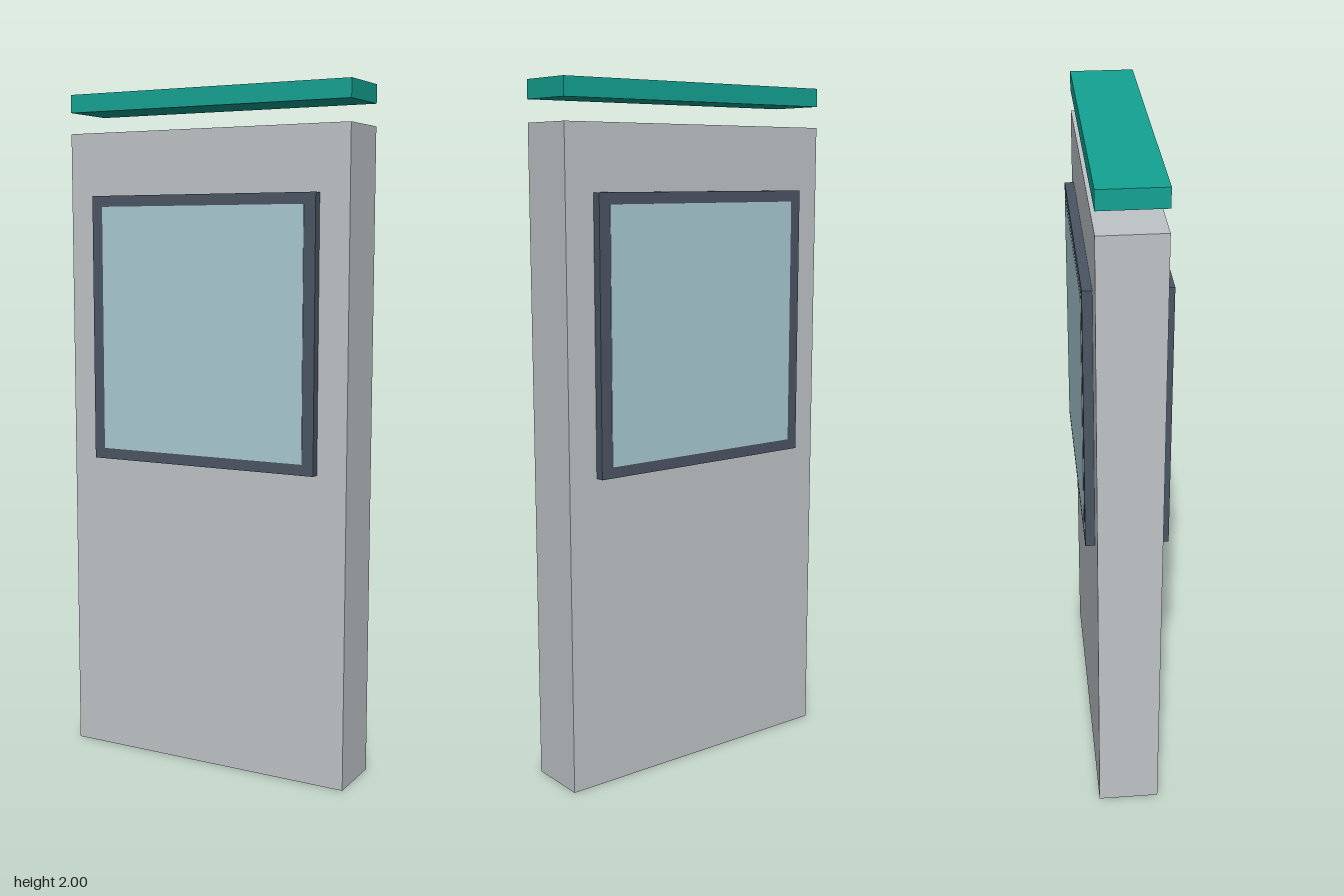
import * as THREE from 'three';

const mat = (color) => new THREE.MeshStandardMaterial({ color, flatShading: true });

// Box spanning y0..y1, centred on x = 0
function slab(name, width, y0, y1, depth, z, material) {
  const mesh = new THREE.Mesh(new THREE.BoxGeometry(width, y1 - y0, depth), material);
  mesh.name = name;
  mesh.position.set(0, (y0 + y1) / 2, z);
  return mesh;
}

export function createModel() {
  const model = new THREE.Group();
  model.name = 'informationKiosk';
  const frameMat = mat(0x4b5563);
  const glassMat = mat(0xa9cbd3);

  // Upright body and the cap floating above it
  model.add(slab('body', 0.906, 0, 1.885, 0.18, 0, mat(0xbfc4c7)));
  model.add(slab('cap', 0.906, 1.947, 2, 0.18, 0, mat(0x14a394)));

  // Framed display on the front and the back, the glass a hair proud of its frame
  for (const [side, s] of [['front', 1], ['back', -1]]) {
    const display = new THREE.Group();
    display.name = side + 'Display';
    display.add(slab('frame', 0.726, 0.914, 1.7, 0.027, s * 0.1035, frameMat));
    display.add(slab('screen', 0.656, 0.946, 1.668, 0.02, s * 0.109, glassMat));
    model.add(display);
  }
  return model;
}
